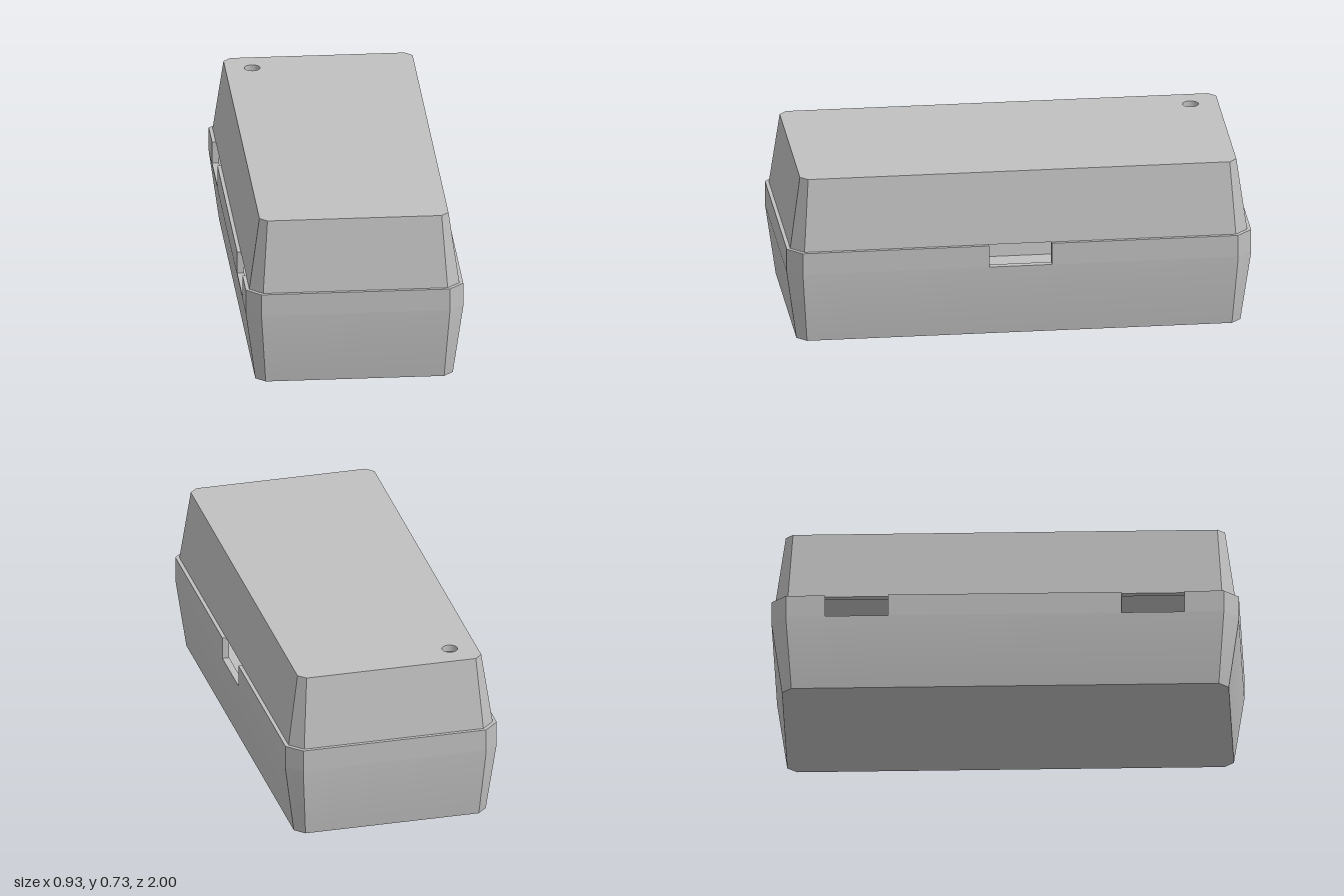
import * as THREE from 'three';
import { mergeGeometries, toCreasedNormals } from 'three/addons/utils/BufferGeometryUtils.js';

// Chamfered rectangle outline, anticlockwise seen from above; plan coordinates are (x, -z).
// Section = [y, half width, half length, flat half width, flat half length]
const outline = ([, hx, hz, fx, fz]) => [
  [fx, -hz], [hx, -fz], [hx, fz], [fx, hz], [-fx, hz], [-hx, fz], [-hx, -fz], [-fx, -hz],
].map(([x, v]) => new THREE.Vector2(x, v));

// Same section moved inward by the wall thickness
const WALL = 0.03;
const inset = ([y, hx, hz, fx, fz], atY = y) =>
  [atY, hx - WALL, hz - WALL, fx - WALL * 0.41, fz - WALL * 0.41];

// Skin through a list of sections; outer walls run upward, inner walls downward
function loft(sections) {
  const pos = [];
  const at = (s, j) => { const p = outline(s)[j % 8]; return [p.x, s[0], -p.y]; };
  for (let i = 0; i < sections.length - 1; i++) {
    for (let j = 0; j < 8; j++) {
      const a = at(sections[i], j), b = at(sections[i], j + 1);
      const c = at(sections[i + 1], j + 1), d = at(sections[i + 1], j);
      pos.push(...a, ...b, ...c, ...a, ...c, ...d);
    }
  }
  const g = new THREE.BufferGeometry();
  g.setAttribute('position', new THREE.Float32BufferAttribute(pos, 3));
  return g;
}

// Flat panel closing a section, optionally pierced by a round hole
function panel(section, up, hole) {
  const shape = new THREE.Shape(outline(section));
  if (hole) shape.holes.push(new THREE.Path().absarc(hole.x, -hole.z, hole.r, 0, Math.PI * 2, true));
  const g = new THREE.ShapeGeometry(shape, 12).rotateX(-Math.PI / 2);
  if (!up) {
    const idx = g.index.array;
    for (let i = 0; i < idx.length; i += 3) [idx[i], idx[i + 1]] = [idx[i + 1], idx[i]];
  }
  return g.translate(0, section[0], 0);
}

// Join pieces, smoothing only the shallow bends
function join(parts) {
  const plain = parts.map((p) => {
    const g = p.index ? p.toNonIndexed() : p;
    g.deleteAttribute('uv');
    g.deleteAttribute('normal');
    return g;
  });
  return toCreasedNormals(mergeGeometries(plain), 0.5);
}

export function createModel() {
  const model = new THREE.Group();
  model.name = 'box';
  const grey = new THREE.MeshStandardMaterial({ color: 0xc0c0c0 });
  grey.name = 'grey plastic';
  const add = (name, geometry) => {
    const mesh = new THREE.Mesh(geometry, grey);
    mesh.name = name;
    model.add(mesh);
  };

  // Hollow tub, tapering toward the floor
  const foot = [0, 0.424, 0.956, 0.383, 0.915];
  const belly = [0.31, 0.467, 1.0, 0.404, 0.937];
  const ledge = [0.32, ...belly.slice(1)];
  const floor = inset(foot, 0.03);
  add('tub', join([
    loft([foot, belly, ledge, inset(ledge), inset(belly), floor]),
    panel(foot, false),
    panel(floor, true),
  ]));

  // Upright rim, broken by one notch on the left side and two on the right
  const rimTop = 0.417;
  const o = outline(ledge), n = outline(inset(ledge));
  const endWall = (ring, hx) => [
    new THREE.Vector2(hx, 0.135), ring[2], ring[3], ring[4], ring[5], new THREE.Vector2(-hx, 0.77),
  ];
  const hx = ledge[1];
  const backPath = [...endWall(o, hx), ...endWall(n, hx - WALL).reverse()];
  const frontPath = backPath.map((p) => new THREE.Vector2(p.x, -p.y)).reverse();
  const sidePath = [[-hx, -0.5], [-hx + WALL, -0.5], [-hx + WALL, 0.5], [-hx, 0.5]]
    .map(([x, v]) => new THREE.Vector2(x, v));
  for (const [name, path] of [['rimBack', backPath], ['rimFront', frontPath], ['rimRight', sidePath]]) {
    const g = new THREE.ExtrudeGeometry(new THREE.Shape(path), {
      depth: rimTop - ledge[0], bevelEnabled: false,
    });
    add(name, g.rotateX(-Math.PI / 2).translate(0, ledge[0], 0));
  }

  // Hollow lid with a small round hole near the back right corner
  const lidBase = [rimTop, 0.451, 0.984, 0.396, 0.929];
  const lidTop = [0.733, 0.406, 0.94, 0.374, 0.908];
  const ceiling = inset(lidTop, lidTop[0] - WALL);
  const hole = { x: -0.29, z: -0.82, r: 0.034 };
  const bore = new THREE.CylinderGeometry(hole.r, hole.r, WALL, 24, 1, true)
    .scale(-1, 1, 1)
    .translate(hole.x, lidTop[0] - WALL / 2, hole.z);
  add('lid', join([
    loft([ceiling, inset(lidBase), lidBase, lidTop]),
    panel(lidTop, true, hole),
    panel(ceiling, false, hole),
    bore,
  ]));

  return model;
}
